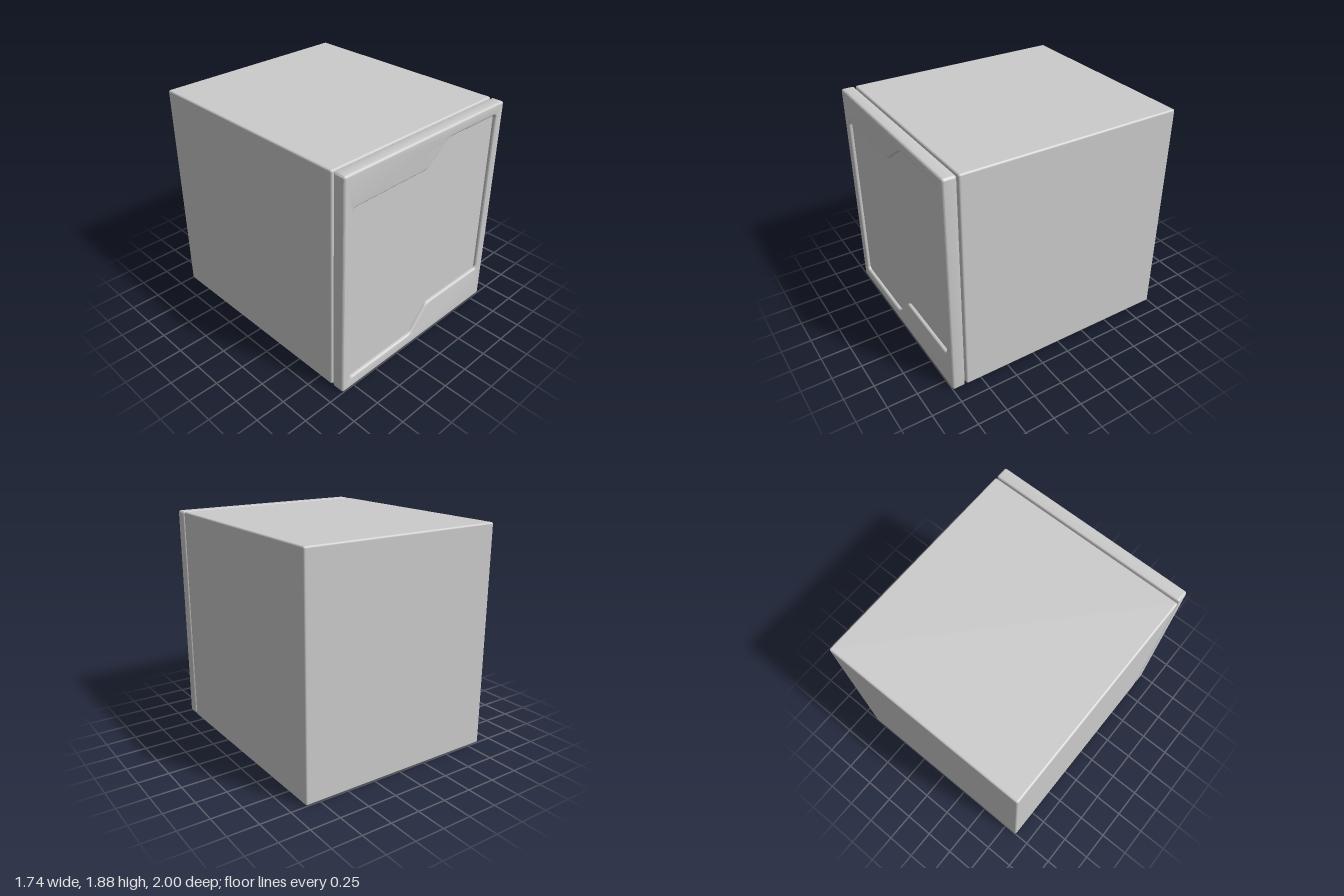
import * as THREE from 'three';
import { toCreasedNormals } from 'three/addons/utils/BufferGeometryUtils.js';
import { RoundedBoxGeometry } from 'three/addons/geometries/RoundedBoxGeometry.js';

const W = 1.74, H = 1.88, BACK = -1, BODY_FRONT = 0.88, DOOR_BACK = 0.893, DOOR_FRONT = 1;
const BEVEL = 0.016;

// Draws a closed polygon with every corner rounded by distance r.
function roundedOutline(path, points, r) {
  const v = points.map(([x, y]) => new THREE.Vector2(x, y));
  v.forEach((p, i) => {
    const toward = (q) => p.clone().add(q.clone().sub(p).setLength(r));
    const a = toward(v[(i + v.length - 1) % v.length]);
    const b = toward(v[(i + 1) % v.length]);
    if (i === 0) path.moveTo(a.x, a.y);
    else path.lineTo(a.x, a.y);
    path.quadraticCurveTo(p.x, p.y, b.x, b.y);
  });
  path.closePath();
  return path;
}

export function createModel() {
  const group = new THREE.Group();
  const material = new THREE.MeshStandardMaterial({ color: 0xcccccc });
  const add = (name, geometry, x, y, z) => {
    const mesh = new THREE.Mesh(geometry, material);
    mesh.name = name;
    mesh.position.set(x, y, z);
    group.add(mesh);
  };

  // Main cabinet with softly rounded edges
  const depth = BODY_FRONT - BACK;
  add('cabinetBody', new RoundedBoxGeometry(W, H, depth, 4, BEVEL), 0, H / 2, (BACK + BODY_FRONT) / 2);

  // Stepped outline of the sunken door panel
  const panel = [
    [-0.787, 0.1], [-0.09, 0.1], [0.105, 0.318], [0.783, 0.318],
    [0.783, 1.79], [0.205, 1.79], [-0.03, 1.615], [-0.787, 1.615],
  ];

  // Door frame, rounded around its rim and around the opening
  const frame = roundedOutline(new THREE.Shape(),
    [[-W / 2, 0], [W / 2, 0], [W / 2, H], [-W / 2, H]], 0.022);
  frame.holes.push(roundedOutline(new THREE.Path(), panel, 0.035));
  const frameGeometry = new THREE.ExtrudeGeometry(frame, {
    depth: DOOR_FRONT - DOOR_BACK - 2 * BEVEL,
    bevelThickness: BEVEL, bevelSize: BEVEL, bevelOffset: -BEVEL,
    bevelSegments: 4, curveSegments: 6,
  });
  add('doorFrame', toCreasedNormals(frameGeometry, 0.7), 0, 0, DOOR_BACK + BEVEL);

  // Flat panel set back inside the frame
  const panelGeometry = new THREE.ExtrudeGeometry(
    roundedOutline(new THREE.Shape(), panel, 0.035),
    { depth: DOOR_FRONT - DOOR_BACK - 0.028, bevelEnabled: false, curveSegments: 6 });
  add('doorPanel', panelGeometry, 0, 0, DOOR_BACK);

  return group;
}
